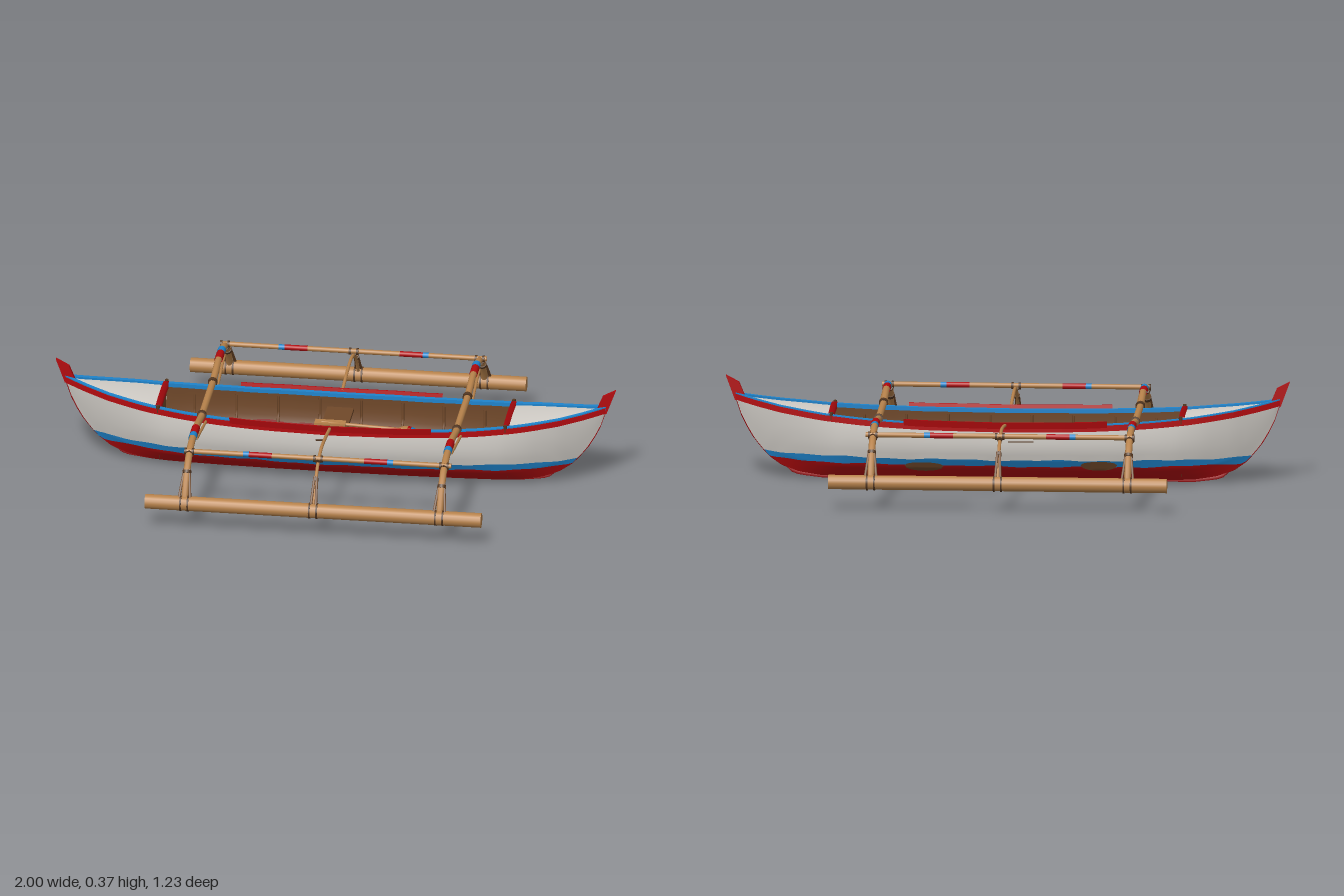
import * as THREE from 'three';

const mat = (name, color, side = THREE.FrontSide) => {
  const m = new THREE.MeshStandardMaterial({ color, side });
  m.name = name;
  return m;
};
// piecewise-linear lookup
const lerpTable = (table) => (v) => {
  const a = Math.abs(v);
  for (let i = 1; i < table.length; i++) {
    const [x0, y0] = table[i - 1], [x1, y1] = table[i];
    if (a <= x1) return y0 + (y1 - y0) * (a - x0) / (x1 - x0);
  }
  return table[table.length - 1][1];
};
const clamp = THREE.MathUtils.clamp;

// hull lines: rail height, keel height, half beam, and section fullness
const sheer = lerpTable([[0, 0.217], [0.3, 0.221], [0.5, 0.23], [0.65, 0.242], [0.8, 0.262], [0.9, 0.28], [0.965, 0.295]]);
const keel = lerpTable([[0, 0.015], [0.66, 0.015], [0.74, 0.025], [0.8, 0.046], [0.85, 0.082], [0.9, 0.142], [0.94, 0.21], [0.965, 0.285]]);
const beam = lerpTable([[0, 0.158], [0.2, 0.155], [0.4, 0.143], [0.55, 0.126], [0.7, 0.099], [0.8, 0.072], [0.9, 0.034], [0.965, 0.006]]);
const full = lerpTable([[0, 0.4], [0.1, 0.58], [0.22, 0.77], [0.4, 0.91], [0.6, 0.985], [0.8, 1], [1, 0.98]]);
const END = 0.965;
const halfWidth = (x, y) => {
  const k = keel(x), u = clamp((y - k) / (sheer(x) - k), 0, 1);
  const sharp = clamp((Math.abs(x) - 0.6) / 0.35, 0, 1);
  return beam(x) * full(u) * (1 - sharp * 0.75 * (1 - u));
};

// surface through rows of points
function loft(rows, closed = false) {
  const n = rows[0].length, index = [];
  const cols = closed ? n : n - 1;
  for (let i = 0; i < rows.length - 1; i++)
    for (let j = 0; j < cols; j++) {
      const a = i * n + j, b = i * n + (j + 1) % n;
      index.push(a, b, a + n, b, b + n, a + n);
    }
  const g = new THREE.BufferGeometry();
  g.setAttribute('position', new THREE.Float32BufferAttribute(rows.flat(2), 3));
  g.setIndex(index);
  g.computeVertexNormals();
  return g;
}
const along = (x0, x1, n, fn) => Array.from({ length: n + 1 }, (_, i) => fn(x0 + (x1 - x0) * i / n));

// strip of the hull skin between two heights
const skin = (side, x0, x1, lo, hi, offset = 0, n = 96) => loft(along(x0, x1, n, (x) => {
  const k = keel(x), s = sheer(x);
  const a = clamp(lo(x), k, s), b = clamp(hi(x), k, s);
  return along(0, 1, 6, (t) => {
    const y = a + (b - a) * t;
    return [x, y, side * Math.max(0, halfWidth(x, y) + offset)];
  });
}));
// strip following the rail, with a rectangular section
const railStrip = (side, x0, x1, z0, z1, y0, y1, lean = 0) => {
  const g = loft(along(x0, x1, 48, (x) => {
    const s = sheer(x), w = halfWidth(x, s);
    return [[z0, y0], [z1, y0], [z1 + lean, y1], [z0 + lean, y1]]
      .map(([z, y]) => [x, s + y, side * Math.max(0, w + z)]);
  }), true).toNonIndexed();
  g.computeVertexNormals();
  return g;
};

export function createModel() {
  const D = THREE.DoubleSide;
  const red = mat('red paint', 0xb20a0e, D), white = mat('white paint', 0xd2cec8, D);
  const blue = mat('blue paint', 0x1f84cc, D), brown = mat('inner wood', 0x71492a, D);
  const tan = mat('bamboo', 0xb8834c), dark = mat('lashing', 0x553821), maroon = mat('worn red paint', 0x8a1416, D);

  const model = new THREE.Group();
  const add = (name, geo, material, parent = model) => {
    const m = new THREE.Mesh(geo, material);
    m.name = name;
    parent.add(m);
    return m;
  };
  const box = (name, w, h, d, x, y, z, material) =>
    add(name, new THREE.BoxGeometry(w, h, d), material).position.set(x, y, z);
  const V = (p) => new THREE.Vector3(...p);
  const rod = (name, p, q, r, material, sides = 10) => {
    const a = V(p), b = V(q), d = b.clone().sub(a);
    const m = add(name, new THREE.CylinderGeometry(r, r, d.length(), sides), material);
    m.position.copy(a).add(b).multiplyScalar(0.5);
    m.quaternion.setFromUnitVectors(new THREE.Vector3(0, 1, 0), d.normalize());
  };
  const tube = (name, pts, r, material, seg = 32) =>
    add(name, new THREE.TubeGeometry(new THREE.CatmullRomCurve3(pts.map(V)), seg, r, 10), material);

  // hull, painted in three bands with a slightly uneven edge
  const wave = (x) => 0.002 * Math.sin(x * 17) + 0.0015 * Math.sin(x * 41);
  const redTop = (x) => 0.072 + wave(x), blueTop = (x) => 0.097 + wave(x + 1);
  for (const s of [1, -1]) {
    add('hullBottom', skin(s, -END, END, () => 0, redTop), red);
    add('hullBlueBand', skin(s, -END, END, redTop, blueTop), blue);
    add('hullSide', skin(s, -END, END, blueTop, () => 1), white);
    add('innerWall', skin(s, -0.62, 0.62, () => 0.04, () => 1, -0.012), brown);
    add('innerRedWall', skin(s, -0.42, 0.4, () => 0.075, (x) => 0.11 + 2 * wave(x), -0.014), maroon);
    add('outerRail', railStrip(s, -END, END, -0.002, 0.007, -0.016, 0.004), red);
    add('railTop', railStrip(s, -END, END, -0.014, 0.003, -0.006, 0.008), blue);
    add('washboard', railStrip(s, -0.36, 0.36, 0.002, 0.007, -0.004, 0.02, 0.005), red);
  }
  add('hullFloor', loft(along(-END, END, 64, (x) => {
    const w = halfWidth(x, keel(x));
    return [[x, keel(x), -w], [x, keel(x), w]];
  })), red);
  // worn patches and a scratch on the back side
  for (const [x, y, w] of [[0.29, 0.07, 0.07], [-0.33, 0.08, 0.065]]) {
    const bulge = (v) => Math.sqrt(Math.max(0, 1 - ((v - x) / w) ** 2));
    add('wornPatch', skin(-1, x - w, x + w, (v) => y - 0.022 * bulge(v), (v) => y + 0.014 * bulge(v), 0.002, 16), brown);
  }
  add('scratch', skin(-1, -0.1, -0.01, () => 0.165, () => 0.169, 0.002, 8), dark);

  // keel and stem ridge
  add('keelRidge', loft(along(-END, END, 96, (x) => {
    const k = keel(x), lip = k - (k > 0.04 ? 0.004 : 0.015), h = 0.005;
    return [[x, lip, -h], [x, lip, h], [x, k + 0.002, h], [x, k + 0.002, -h]];
  }), true), red);

  // ends: post, deck and coaming
  for (const s of [1, -1]) {
    const shape = new THREE.Shape([[1, 0.365], [0.953, 0.34], [0.93, 0.285], [0.967, 0.275]]
      .map(([x, y]) => new THREE.Vector2(s * x, y)));
    const post = new THREE.ExtrudeGeometry(shape, { depth: 0.014, bevelEnabled: false });
    add('endPost', post.translate(0, 0, -0.007), red);
    const arch = (x, lift) => along(-1, 1, 8, (t) =>
      [x, sheer(x) + lift + 0.05 * beam(x) * (1 - t * t), t * (beam(x) * 0.98 - 0.004)]);
    add('deck', loft(along(s * 0.62, s * 0.955, 16, (x) => arch(x, 0))), white);
    const c = [[0.612, -0.012], [0.612, 0.012], [0.63, 0.012], [0.63, -0.012]];
    add('coaming', loft(c.map(([x, l]) => arch(s * x, l))), red);
    const x = s * 0.62;
    add('bulkhead', loft([arch(x, 0), along(-1, 1, 8, (t) => [x, 0.03, t * 0.07])]), brown);
    for (const z of [1, -1]) rod('cleat', [x, 0.23, z * 0.112], [x, 0.256, z * 0.112], 0.007, dark, 6);
  }

  // cabin floor with worn paint
  add('cabinFloor', loft(along(-0.62, 0.62, 24, (x) => {
    const w = halfWidth(x, 0.05) - 0.01;
    return [[x, 0.05, -w], [x, 0.05, w]];
  })), brown);
  box('floorPaint', 0.55, 0.004, 0.045, -0.33, 0.053, 0.025, red);
  box('floorPaint', 0.3, 0.004, 0.04, 0.22, 0.053, 0.035, red);
  box('floorPaint', 0.8, 0.004, 0.045, 0, 0.053, -0.07, maroon);
  // ribs and bench
  for (let x = -0.52; x < 0.53; x += 0.148) {
    const pts = along(-1, 1, 12, (t) => {
      const y = 0.055 + 0.15 * Math.pow(Math.abs(t), 1.6);
      const z = Math.abs(t) < 0.1 ? 0 : Math.sign(t) * (halfWidth(x, y) - 0.015) * Math.min(1, 0.35 + Math.abs(t));
      return [x, y, z];
    });
    tube('rib', pts, 0.005, brown, 24);
  }
  box('bench', 0.095, 0.012, 0.28, -0.003, 0.168, 0, brown);

  // paddle lying on the bench
  rod('paddleShaft', [-0.05, 0.18, 0.008], [0.45, 0.16, 0.008], 0.006, tan);
  box('paddleBlade', 0.11, 0.008, 0.035, -0.02, 0.179, 0.006, tan);
  // striped float ball, sliced across x
  const R = 0.06, cuts = [-1, 0.1, 0.3, 0.55, 1];
  [tan, red, blue, tan].forEach((m, i) => {
    const a = Math.acos(cuts[i + 1]), b = Math.acos(cuts[i]);
    const ball = new THREE.SphereGeometry(R, 24, 10, 0, Math.PI * 2, a, b - a).rotateZ(-Math.PI / 2);
    add('floatBall', ball, m).position.set(0.25, 0.115, 0);
  });
  rod('sidePeg', [-0.05, 0.178, 0.156], [-0.015, 0.182, 0.161], 0.004, dark, 6);

  // cross booms
  const half = [[0.16, 0.243], [0.28, 0.26], [0.38, 0.258], [0.46, 0.24], [0.52, 0.2], [0.565, 0.14], [0.585, 0.1]];
  const span = (x, drop) => [...half.map(([z, y]) => [x, y - drop(z), -z]).reverse(), [x, 0.241 - drop(0), 0],
    ...half.map(([z, y]) => [x, y - drop(z), z])];
  for (const x of [-0.46, 0.45]) tube('boom', span(x, () => 0), 0.0125, tan, 64);
  const thin = span(0, (z) => (z < 0.3 ? 0.016 : 0.008));
  tube('middleBoomFront', thin.slice(8), 0.006, tan);
  tube('middleBoomBack', thin.slice(0, 7), 0.006, tan);

  for (const s of [1, -1]) {
    // long float and spreader pole
    rod('outriggerFloat', [-0.6, 0.1, s * 0.585], [0.6, 0.1, s * 0.585], 0.026, tan, 16);
    rod('spreaderPole', [-0.475, 0.247, s * 0.46], [0.475, 0.247, s * 0.46], 0.009, tan);
    for (const e of [1, -1]) {
      rod('poleRedBand', [e * 0.165, 0.247, s * 0.46], [e * 0.247, 0.247, s * 0.46], 0.0098, red);
      rod('poleBlueBand', [e * 0.247, 0.247, s * 0.46], [e * 0.268, 0.247, s * 0.46], 0.0098, blue);
    }
    for (const x of [-0.46, 0, 0.45]) {
      const r = x ? 0.016 : 0.01;
      // lashings around float and pole
      for (const dx of [-0.013, 0.013]) {
        rod('floatLashing', [x + dx - 0.003, 0.1, s * 0.585], [x + dx + 0.003, 0.1, s * 0.585], 0.0285, dark, 14);
        rod('poleLashing', [x + dx - 0.004, 0.246, s * 0.46], [x + dx + 0.004, 0.246, s * 0.46], 0.0125, dark);
      }
      rod('boomLashing', [x, 0.241, s * 0.453], [x, 0.236, s * 0.467], r, dark);
      // slanted braces from float up to boom
      for (const dx of x ? [-0.022, 0.022] : [-0.01, 0.01])
        rod('floatBrace', [x + dx, 0.105, s * 0.598], [x + dx * 0.4, 0.205, s * 0.522], 0.005, brown, 6);
      rod('braceLashing', [x, 0.199, s * 0.521], [x, 0.19, s * 0.528], r, dark);
      if (!x) continue;
      // painted bands and rail tie
      const band = (z0, z1, m, name) => {
        const pts = [z0, (z0 + z1) / 2, z1].map((z) => [x, 0.2605, s * z]);
        tube(name, pts, 0.0145, m, 6);
      };
      band(0.29, 0.35, red, 'boomRedBand');
      band(0.35, 0.382, blue, 'boomBlueBand');
      rod('railTie', [x, 0.242, s * 0.134], [x, 0.244, s * 0.148], 0.017, dark);
      rod('railBrace', [x + 0.016, 0.222, s * 0.15], [x + 0.012, 0.25, s * 0.36], 0.005, tan, 6);
    }
  }
  return model;
}
